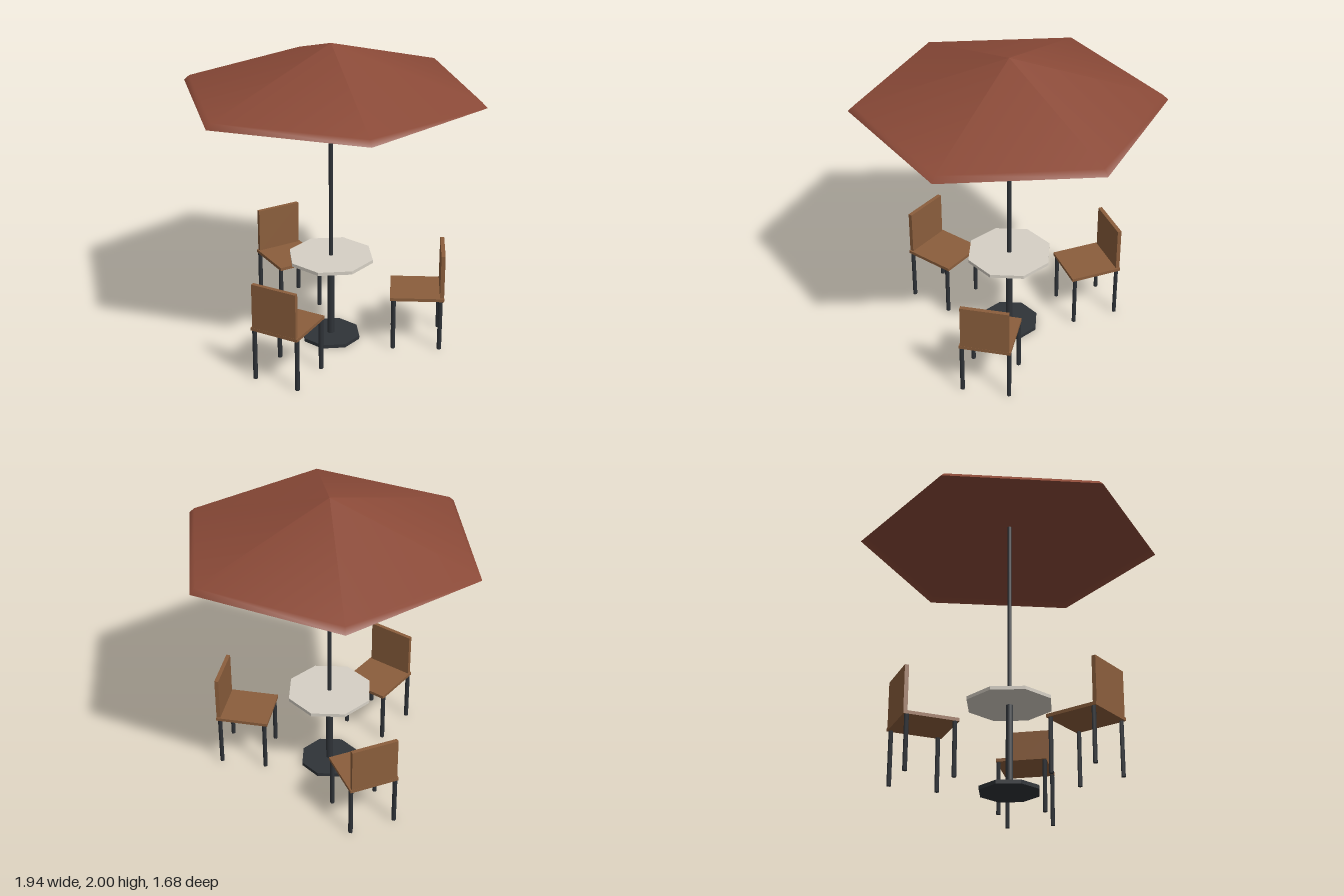
import * as THREE from 'three';

const paint = (color, extra = {}) => new THREE.MeshStandardMaterial({ color, ...extra });

export function createModel() {
  const model = new THREE.Group();
  model.name = 'patioSet';

  const wood = paint(0x8b5e3c, { flatShading: true });
  const metal = paint(0x2f3338);
  const metalFlat = paint(0x2f3338, { flatShading: true });
  const stone = paint(0xd6d0c5, { flatShading: true });
  const fabric = paint(0x8b4a38, { side: THREE.DoubleSide });

  // Upright cylinder between two heights
  const post = (parent, name, radius, y0, y1, sides, material, x = 0, z = 0) => {
    const mesh = new THREE.Mesh(new THREE.CylinderGeometry(radius, radius, y1 - y0, sides), material);
    mesh.position.set(x, (y0 + y1) / 2, z);
    mesh.name = name;
    parent.add(mesh);
  };
  const box = (parent, name, w, h, d, y, z, material) => {
    const mesh = new THREE.Mesh(new THREE.BoxGeometry(w, h, d), material);
    mesh.position.set(0, y, z);
    mesh.name = name;
    parent.add(mesh);
  };

  // Table: octagonal foot, column and top
  const table = new THREE.Group();
  table.name = 'table';
  post(table, 'tableBase', 0.195, 0, 0.024, 8, metalFlat);
  post(table, 'tableColumn', 0.024, 0.02, 0.57, 8, metal);
  post(table, 'tableTop', 0.28, 0.566, 0.588, 8, stone);
  model.add(table);

  // Parasol: thin pole and hollow six-sided canopy with a short valance
  const parasol = new THREE.Group();
  parasol.name = 'parasol';
  post(parasol, 'parasolPole', 0.0145, 0.57, 1.834, 8, metal);
  const profile = [[0.97, 1.68], [0.935, 1.714], [0, 2]].map(([r, y]) => new THREE.Vector2(r, y));
  const canopy = new THREE.Mesh(new THREE.LatheGeometry(profile, 6, Math.PI / 6), fabric);
  canopy.name = 'canopy';
  parasol.add(canopy);
  model.add(parasol);

  // Chairs: built with the back on the outside, then turned about the table
  for (const degrees of [-11.6, 103.8, 227.2]) {
    const chair = new THREE.Group();
    chair.name = 'chair';
    box(chair, 'seat', 0.326, 0.021, 0.346, 0.3555, 0.56, wood);
    box(chair, 'backrest', 0.306, 0.297, 0.026, 0.5115, 0.719, wood);
    for (const x of [-0.15, 0.15]) {
      for (const z of [0.41, 0.71]) post(chair, 'chairLeg', 0.0145, 0, 0.347, 6, metal, x, z);
    }
    chair.rotation.y = THREE.MathUtils.degToRad(degrees);
    model.add(chair);
  }
  return model;
}
